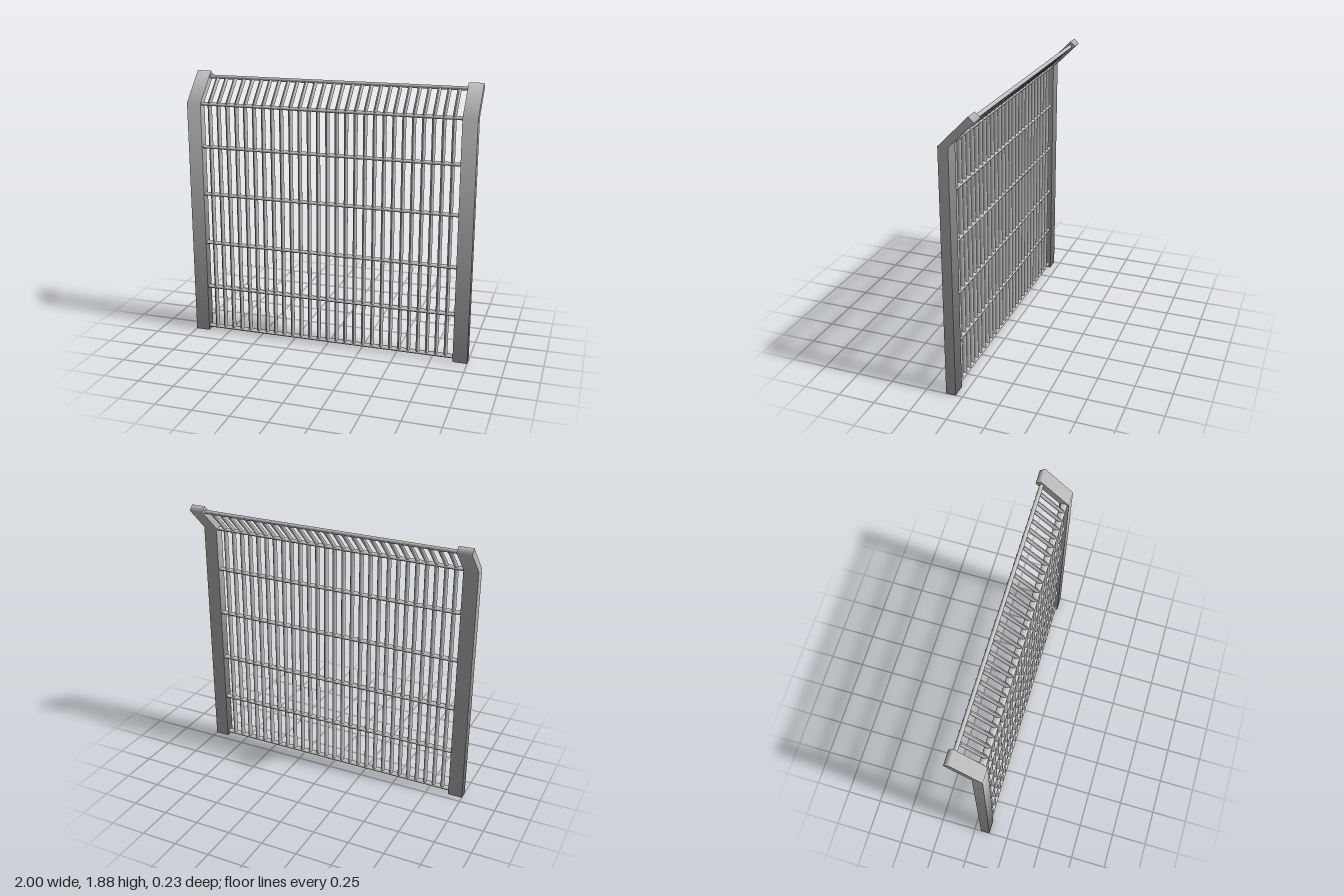
import * as THREE from 'three';

const steel = new THREE.MeshStandardMaterial({ color: 0xc0c0c0 });
steel.name = 'grey steel';

const BEND_Y = 1.677; // height where the fence leans back
const MID_Z = 0.081;  // centre plane of the upright part

// Outline of a post from the side, as (z, y) points
const outline = [
  [0.048, 0], [0.114, 0], [0.114, BEND_Y], [-0.08, 1.875], [-0.114, 1.841], [0.048, BEND_Y],
].map(([z, y]) => new THREE.Vector2(z, y));

// Post: extruded outline, walls shaded smoothly along the outline and sides rounded into the foot
function postGeometry() {
  const n = outline.length;
  const edgeNormal = (i) => {
    const d = outline[(i + 1) % n].clone().sub(outline[i]).normalize();
    return new THREE.Vector2(d.y, -d.x);
  };
  const corner = outline.map((_, i) => edgeNormal(i).add(edgeNormal((i + n - 1) % n)).normalize());
  const geo = new THREE.ExtrudeGeometry(new THREE.Shape(outline), { depth: 0.1, bevelEnabled: false });
  const { position: pos, normal } = geo.attributes;
  const wall = geo.groups[1];
  for (let i = 0; i < pos.count; i++) {
    const p = new THREE.Vector2(pos.getX(i), pos.getY(i));
    if (i >= wall.start) {
      const k = outline.findIndex((q) => q.distanceTo(p) < 1e-4);
      normal.setXYZ(i, corner[k].x, corner[k].y, 0);
    } else if (p.y < 0.01) {
      normal.setXYZ(i, 0, -Math.SQRT1_2, Math.sign(normal.getZ(i)) * Math.SQRT1_2);
    }
  }
  geo.clearGroups();
  geo.translate(0, 0, -0.05);
  geo.rotateY(-Math.PI / 2);
  return geo;
}

// Upright bar: oval cylinder whose top section is sheared backwards at the bend
function barGeometry() {
  const base = 0.02, top = 1.832;
  const geo = new THREE.CylinderGeometry(0.0135, 0.0135, 1, 12, 2);
  geo.scale(1, 1, 1.4);
  const pos = geo.attributes.position;
  for (let i = 0; i < pos.count; i++) {
    const t = pos.getY(i);
    const y = t < -0.25 ? base : t < 0.25 ? BEND_Y : top;
    pos.setY(i, y);
    pos.setZ(i, pos.getZ(i) + MID_Z - Math.max(0, y - BEND_Y));
  }
  geo.computeVertexNormals();
  return geo;
}

export function createModel() {
  const model = new THREE.Group();
  model.name = 'fencePanel';
  const add = (name, geo, x = 0, y = 0, z = 0) => {
    const mesh = new THREE.Mesh(geo, steel);
    mesh.name = name;
    mesh.position.set(x, y, z);
    model.add(mesh);
  };

  // End posts
  const post = postGeometry();
  add('leftPost', post, 0.95);
  add('rightPost', post, -0.95);

  // Upright bars
  const bar = barGeometry();
  for (let i = 0; i < 27; i++) add('uprightBar', bar, (i - 13) * 0.065);

  // Cross rails, oval so they enclose the bars
  const rail = new THREE.CylinderGeometry(1, 1, 1.82, 16);
  rail.rotateZ(Math.PI / 2);
  rail.scale(1, 0.012, 0.0225);
  for (const y of [0.027, 0.335, 0.67, 1.03, 1.37, 1.67]) add('crossRail', rail, 0, y, MID_Z);

  // Top rail along the leaning edge
  const topRail = new THREE.CylinderGeometry(0.0135, 0.0135, 1.82, 12);
  topRail.rotateZ(Math.PI / 2);
  add('topRail', topRail, 0, 1.835, -0.075);

  return model;
}
